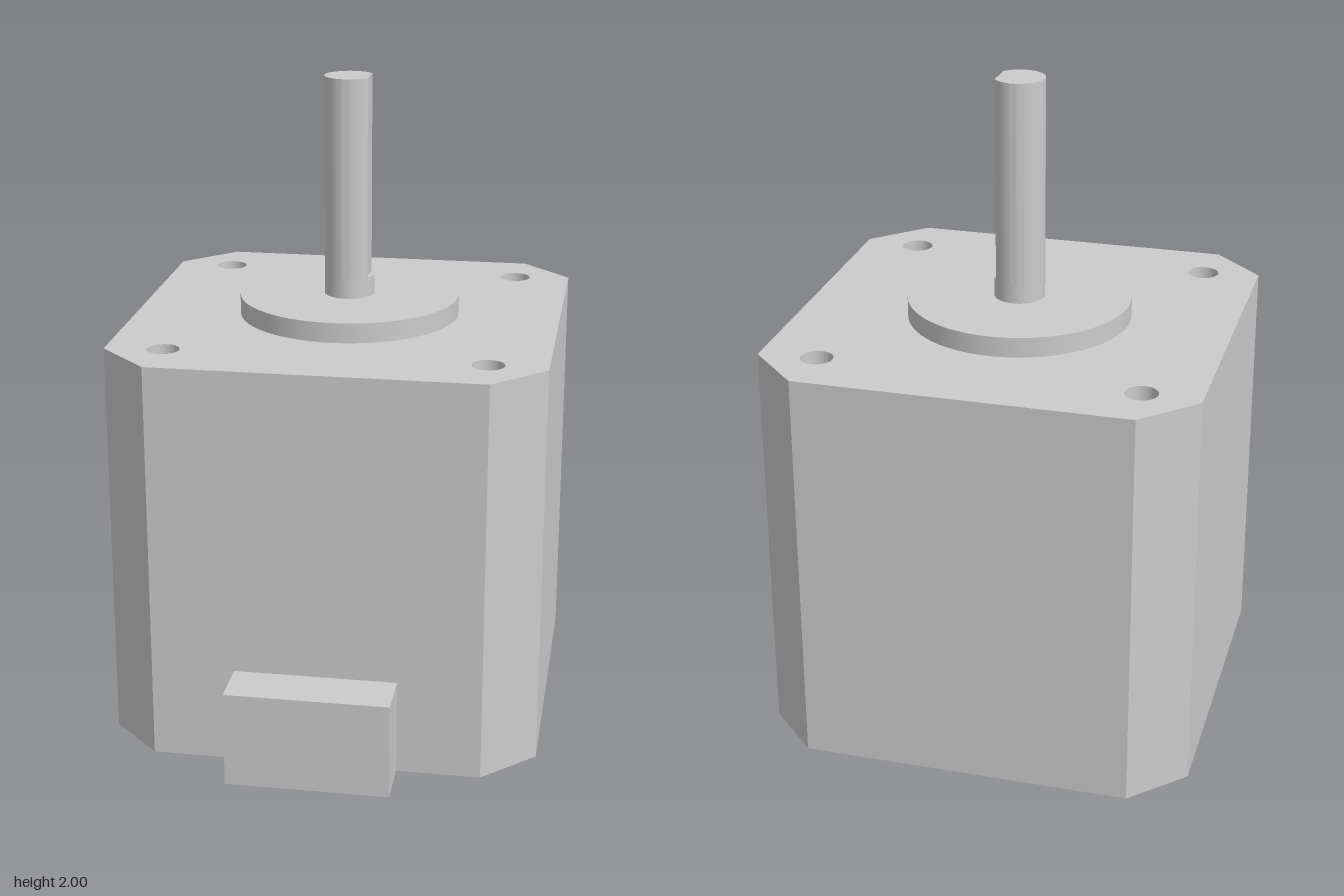
import * as THREE from 'three';
import { toCreasedNormals } from 'three/addons/utils/BufferGeometryUtils.js';

const HALF = 0.662, CHAMFER = 0.157, BODY_TOP = 1.252;
const HOLE_R = 0.049, HOLE_POS = 0.485, HOLE_DEPTH = 0.14;
const BOSS_R = 0.344, BOSS_TOP = 1.314;
const SHAFT_R = 0.078, FLAT_X = 0.0626, FLAT_START = 1.377;
const AXIS_Z = -0.079;

// Square outline with cut corners
function bodyOutline() {
  const a = HALF, b = HALF - CHAMFER;
  return new THREE.Shape([
    [a, -b], [a, b], [b, a], [-b, a], [-a, b], [-a, -b], [-b, -a], [b, -a],
  ].map(([x, y]) => new THREE.Vector2(x, y)));
}

// Extrude a plan shape upwards between two heights
function prism(shape, y0, y1) {
  const geo = new THREE.ExtrudeGeometry(shape, { depth: y1 - y0, bevelEnabled: false, curveSegments: 48 });
  geo.rotateX(-Math.PI / 2).translate(0, y0, 0);
  return toCreasedNormals(geo, 0.4);
}

export function createModel() {
  const model = new THREE.Group();
  model.name = 'stepperMotor';
  const grey = new THREE.MeshStandardMaterial({ color: 0xcccccc });
  grey.name = 'light grey';

  const add = (name, geometry, parent) => {
    const mesh = new THREE.Mesh(geometry, grey);
    mesh.name = name;
    parent.add(mesh);
  };
  const disc = (r, y0, y1) =>
    new THREE.CylinderGeometry(r, r, y1 - y0, 64).translate(0, (y0 + y1) / 2, 0);

  const motor = new THREE.Group();
  motor.name = 'motor';
  motor.position.z = AXIS_Z;
  model.add(motor);

  // Housing: solid lower block and a top layer with blind screw holes
  const layerY = BODY_TOP - HOLE_DEPTH;
  add('housing', prism(bodyOutline(), 0, layerY), motor);
  const top = bodyOutline();
  for (const sx of [-1, 1]) for (const sy of [-1, 1]) {
    const hole = new THREE.Path();
    hole.absarc(sx * HOLE_POS, sy * HOLE_POS, HOLE_R, 0, Math.PI * 2, true);
    top.holes.push(hole);
  }
  add('mountingFace', prism(top, layerY, BODY_TOP), motor);

  // Raised centring boss
  add('boss', disc(BOSS_R, BODY_TOP, BOSS_TOP), motor);

  // Round shaft root, then a D-shaped shaft with its flat towards +x
  add('shaftRoot', disc(SHAFT_R, BOSS_TOP, FLAT_START), motor);
  const angle = Math.acos(FLAT_X / SHAFT_R);
  const dShape = new THREE.Shape();
  dShape.absarc(0, 0, SHAFT_R, angle, Math.PI * 2 - angle, false);
  dShape.closePath();
  add('shaft', prism(dShape, FLAT_START, 2), motor);

  // Cable connector at the foot of the front face
  const z0 = AXIS_Z + HALF, z1 = 0.741;
  add('connector', new THREE.BoxGeometry(0.498, 0.297, z1 - z0)
    .translate(0, 0.1485, (z0 + z1) / 2), model);

  return model;
}
